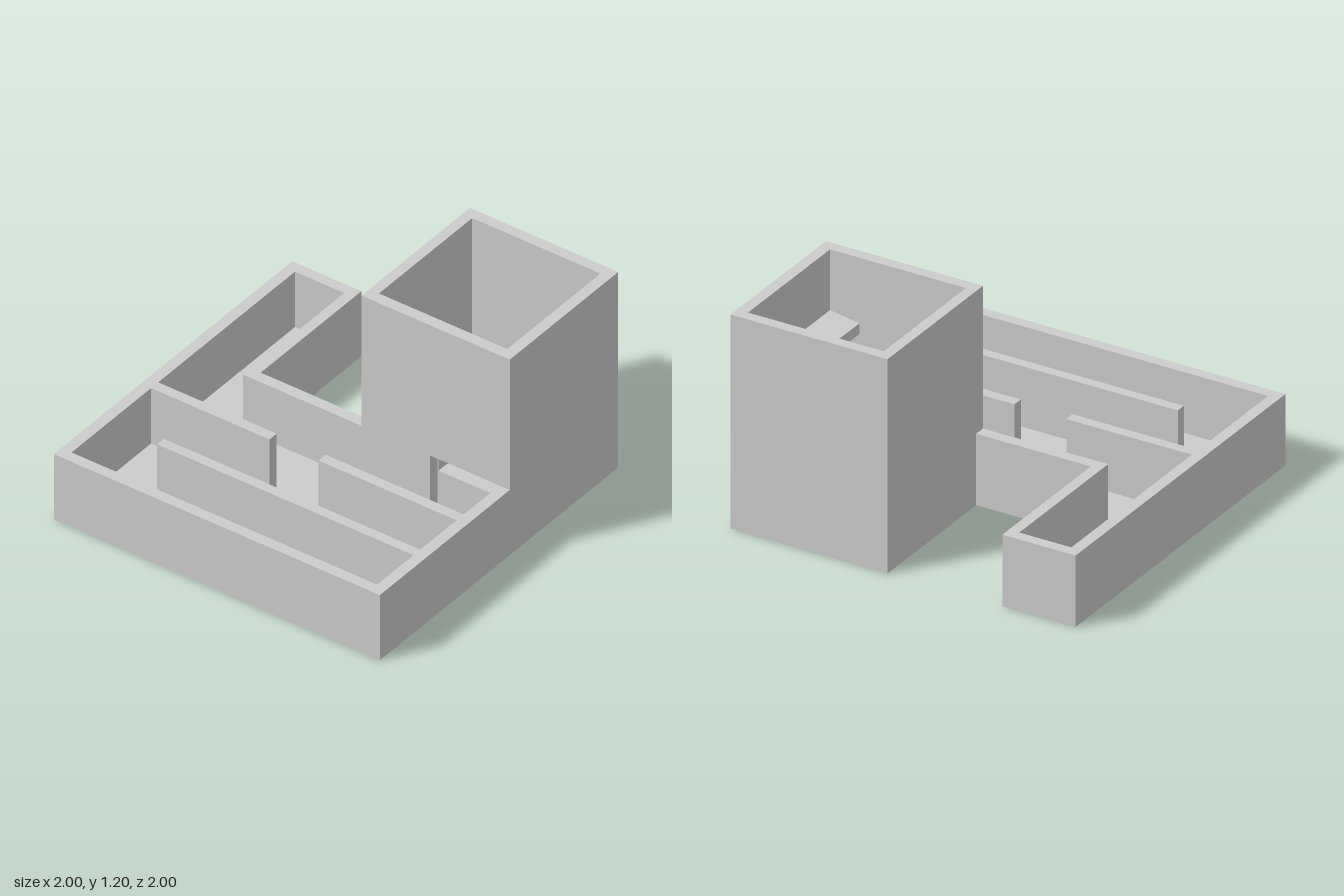
import * as THREE from 'three';

const material = new THREE.MeshStandardMaterial({ color: 0xcccccc, flatShading: true });
const FLOOR = 0.06, WALL = 0.4, TOP = 1.2;

// Plans run clockwise seen from above; reversed here so that faces point outward
const rect = (x0, x1, z0, z1) => [[x0, z0], [x1, z0], [x1, z1], [x0, z1]];
const toPoints = (plan) => plan.map(([x, z]) => new THREE.Vector2(x, -z)).reverse();

// Raises a floor plan of [x, z] corners from height y0 to y1
function raise(name, plan, y0, y1, holes = []) {
  const shape = new THREE.Shape(toPoints(plan));
  for (const hole of holes) shape.holes.push(new THREE.Path(toPoints(hole)));
  const geometry = new THREE.ExtrudeGeometry(shape, { depth: y1 - y0, bevelEnabled: false });
  geometry.rotateX(-Math.PI / 2).translate(0, y0, 0);
  const mesh = new THREE.Mesh(geometry, material);
  mesh.name = name;
  return mesh;
}

export function createModel() {
  const model = new THREE.Group();
  model.name = 'mazeWithTower';

  // Outer footprint: wide maze, narrow back wing and tower base
  const outline = [[-1, -1], [-0.575, -1], [-0.575, -0.155], [0.09, -0.155],
    [0.09, -1], [1, -1], [1, 1], [-1, 1]];
  // Open area inside the walls, joined to the tower room by a doorway
  const interior = [[-0.937, -0.937], [-0.635, -0.937], [-0.635, -0.09], [0.51, -0.09],
    [0.51, -0.155], [0.15, -0.155], [0.15, -0.937], [0.937, -0.937],
    [0.937, 0.937], [-0.937, 0.937]];

  model.add(raise('floor', outline, 0, FLOOR, [rect(0.38, 0.515, 0.27, 0.575)]));
  model.add(raise('outerWalls', outline, FLOOR, WALL, [interior]));
  model.add(raise('towerWalls', rect(0.09, 1, -1, -0.09), WALL, TOP,
    [rect(0.15, 0.937, -0.937, -0.155)]));

  // Free-standing maze walls and the dividers inside the tower: plan and top height
  const walls = {
    leftMazeWall: [-0.937, -0.21, 0.21, 0.27, WALL],
    rightMazeWall: [0.09, 0.937, 0.21, 0.27, WALL],
    frontMazeWall: [-0.635, 0.937, 0.575, 0.632, WALL],
    towerCrossWall: [0.15, 0.937, -0.555, -0.497, 0.6],
    towerBackDivider: [0.455, 0.515, -0.937, -0.555, WALL],
    towerFrontDivider: [0.455, 0.515, -0.497, -0.155, WALL],
    entrancePlatform: [0.515, 0.937, -0.497, -0.155, 0.27],
    sideStep: [0.15, 0.27, -0.497, -0.155, 0.2],
  };
  for (const [name, [x0, x1, z0, z1, top]] of Object.entries(walls)) {
    model.add(raise(name, rect(x0, x1, z0, z1), FLOOR, top));
  }

  // Slightly skewed block on the front divider
  model.add(raise('dividerBlock',
    [[0.46, -0.32], [0.522, -0.32], [0.512, -0.155], [0.452, -0.155]], FLOOR, 0.44));

  // High tapered ledge on the tower's side wall
  model.add(raise('towerLedge',
    [[0.937, -0.497], [0.937, -0.155], [0.74, -0.2], [0.74, -0.38]].reverse(), 0.8, 0.86));

  return model;
}
